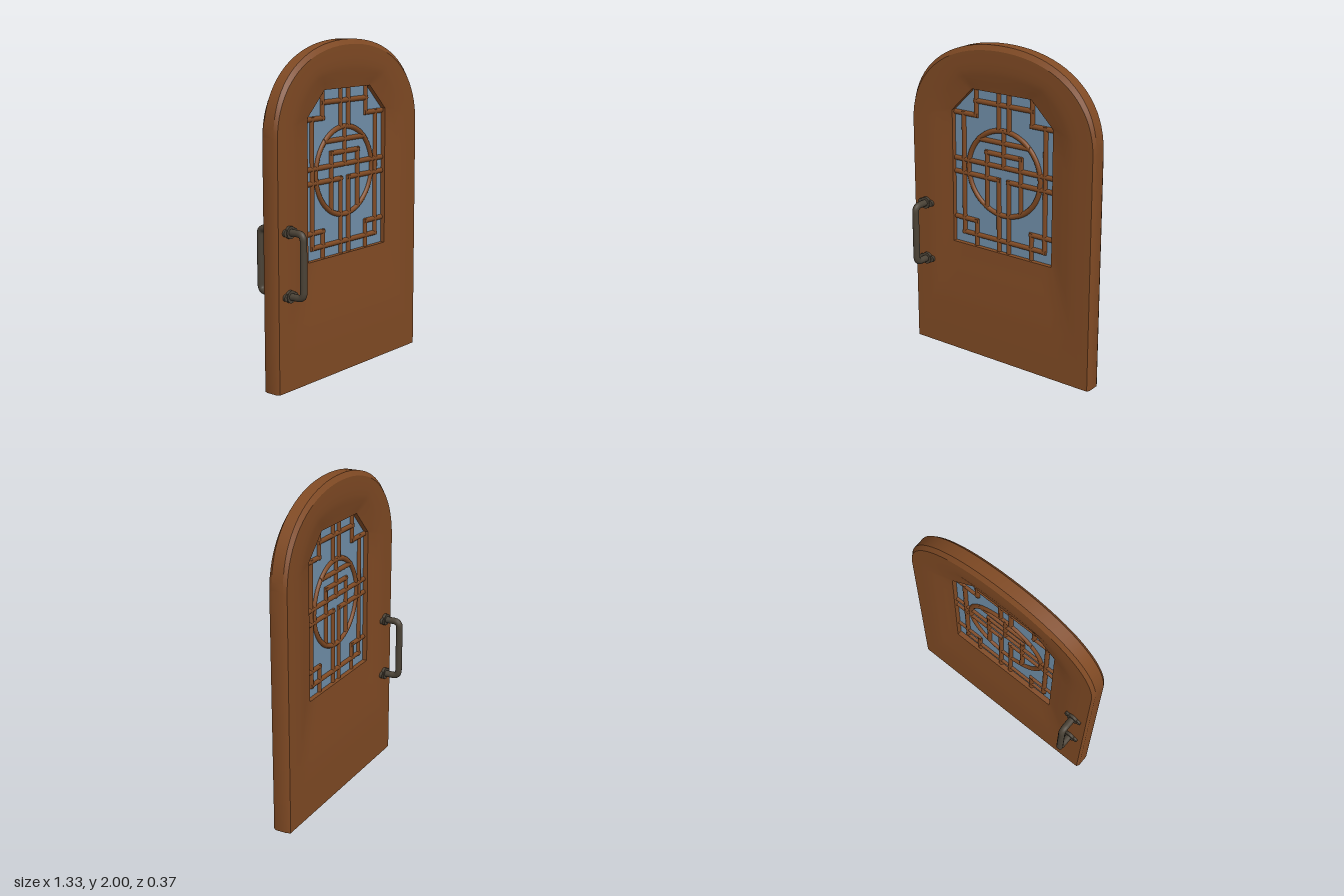
import * as THREE from 'three';
import { toCreasedNormals } from 'three/addons/utils/BufferGeometryUtils.js';

const V2 = (x, y) => new THREE.Vector2(x, y);
const V3 = (x, y, z) => new THREE.Vector3(x, y, z);
const material = (name, color, side = THREE.FrontSide) => {
  const m = new THREE.MeshStandardMaterial({ color, side });
  m.name = name;
  return m;
};

// Outer and window outlines, sampled with matching points; right half, mirrored
const HALF_W = 0.665, SPRING = 1.48;
const WIN_X = 0.368, WIN_BOTTOM = 0.72, WIN_SIDE = 1.565, WIN_TOP = 1.715, WIN_CUT = 0.215;

function outlines() {
  const arch = new THREE.CubicBezierCurve(V2(HALF_W, SPRING), V2(HALF_W, 1.8), V2(0.4, 2), V2(0, 2));
  const outer = [V2(0, 0)], inner = [V2(0, WIN_BOTTOM)];
  const segment = (n, outerAt, from, to) => {
    for (let i = 1; i <= n; i++) {
      outer.push(outerAt(i / n));
      inner.push(from.clone().lerp(to, i / n));
    }
  };
  const corner = V2(WIN_X, WIN_BOTTOM), side = V2(WIN_X, WIN_SIDE), cut = V2(WIN_CUT, WIN_TOP);
  segment(4, t => V2(HALF_W * t, 0), V2(0, WIN_BOTTOM), corner);
  segment(6, t => V2(HALF_W, SPRING * t), corner, side);
  segment(12, t => arch.getPoint(0.6 * t), side, cut);
  segment(8, t => arch.getPoint(0.6 + 0.4 * t), cut, V2(0, WIN_TOP));
  const mirror = pts => pts.concat(pts.slice(1, -1).reverse().map(p => V2(-p.x, p.y)));
  return [mirror(outer), mirror(inner)];
}

// Door slab: rings run from the bevelled rim to the recessed window and back
function slabGeometry() {
  const [outer, inner] = outlines();
  const ring = (s, z, scale = 1) => outer.map((p, i) => {
    const q = p.clone().multiplyScalar(scale).lerp(inner[i], s);
    return V3(q.x, q.y, z);
  });
  const profile = [[0, 0.036, 1], [0, 0.056, 0.985], [0.25, 0.056, 0.985], [0.45, 0.055, 0.985],
    [0.6, 0.05, 0.985], [0.8, 0.039, 0.985], [1, 0.03, 1]];
  const front = profile.map(([s, z, k]) => ring(s, z, k));
  const back = profile.map(([s, z, k]) => ring(s, -z, k)).reverse();
  const rings = [...front, ...back];
  const pos = [], n = outer.length;
  rings.forEach((a, k) => {
    const b = rings[(k + 1) % rings.length];
    for (let i = 0; i < n; i++) {
      const j = (i + 1) % n;
      for (const p of [a[i], a[j], b[j], a[i], b[j], b[i]]) pos.push(p.x, p.y, p.z);
    }
  });
  const geo = new THREE.BufferGeometry();
  geo.setAttribute('position', new THREE.Float32BufferAttribute(pos, 3));
  return toCreasedNormals(geo, 0.5);
}

export function createModel() {
  const model = new THREE.Group();
  model.name = 'archedDoor';
  const wood = material('wood', 0x804a24);
  const glass = material('glass', 0x7190aa, THREE.DoubleSide);
  const iron = material('iron', 0x4a4236);
  const add = (parent, name, geo, mat) => {
    const m = new THREE.Mesh(geo, mat);
    m.name = name;
    parent.add(m);
    return m;
  };

  add(model, 'doorSlab', slabGeometry(), wood);

  // Window pane
  const pane = new THREE.Shape(outlines()[1]);
  add(model, 'windowPane', new THREE.ShapeGeometry(pane), glass);

  // Lattice of round bars
  const lattice = new THREE.Group();
  lattice.name = 'lattice';
  model.add(lattice);
  const R = 0.016;
  const bar = (x1, y1, x2, y2) => {
    const length = Math.hypot(x2 - x1, y2 - y1) + 1.6 * R;
    const m = add(lattice, 'latticeBar', new THREE.CylinderGeometry(R, R, length, 10), wood);
    m.position.set((x1 + x2) / 2, (y1 + y2) / 2, 0);
    m.rotation.z = Math.atan2(y2 - y1, x2 - x1) - Math.PI / 2;
  };
  const ring = add(lattice, 'latticeRing', new THREE.TorusGeometry(0.265, R, 10, 48), wood);
  ring.position.y = 1.22;

  // Bars crossing the centre line
  bar(-WIN_X, 1.26, WIN_X, 1.26);
  bar(-0.18, 1.41, 0.18, 1.41);
  bar(-0.125, 1.335, 0.125, 1.335);
  bar(-0.205, 1.64, 0.205, 1.64);
  bar(-0.3, 0.79, 0.3, 0.79);
  bar(0, 1.26, 0, 1.48);
  // Mirrored bars
  for (const s of [-1, 1]) {
    bar(s * 0.037, 1.49, s * 0.037, WIN_TOP);
    bar(s * 0.037, WIN_BOTTOM, s * 0.037, 1.175);
    bar(s * 0.037, 1.175, s * WIN_X, 1.175);
    bar(s * 0.125, 1.0, s * 0.125, 1.335);
    bar(s * 0.3, 0.79, s * 0.3, 1.55);
    bar(s * 0.205, 1.55, s * 0.205, WIN_TOP);
    bar(s * 0.205, 1.55, s * WIN_X, 1.55);
    bar(s * 0.205, 0.88, s * WIN_X, 0.88);
    bar(s * 0.205, WIN_BOTTOM, s * 0.205, 0.88);
  }

  // Pull handles on both faces
  const top = 0.94, bottom = 0.567, reach = 0.163, bend = 0.04;
  for (const s of [1, -1]) {
    const handle = new THREE.Group();
    handle.name = s > 0 ? 'frontHandle' : 'backHandle';
    handle.position.x = -0.565;
    model.add(handle);
    const p = (y, z) => V3(0, y, s * z);
    const path = new THREE.CurvePath();
    path.add(new THREE.LineCurve3(p(top, 0.05), p(top, reach - bend)));
    path.add(new THREE.QuadraticBezierCurve3(p(top, reach - bend), p(top, reach), p(top - bend, reach)));
    path.add(new THREE.LineCurve3(p(top - bend, reach), p(bottom + bend, reach)));
    path.add(new THREE.QuadraticBezierCurve3(p(bottom + bend, reach), p(bottom, reach), p(bottom, reach - bend)));
    path.add(new THREE.LineCurve3(p(bottom, reach - bend), p(bottom, 0.05)));
    add(handle, 'grip', new THREE.TubeGeometry(path, 80, 0.021, 12), iron);
    // Mounting plates: round boss with two side lobes
    for (const y of [top, bottom]) {
      for (const [x, r, depth] of [[0, 0.037, 0.03], [-0.037, 0.021, 0.026], [0.037, 0.021, 0.026]]) {
        const disc = add(handle, 'mountingPlate', new THREE.CylinderGeometry(r, r, depth, 16), iron);
        disc.rotation.x = Math.PI / 2;
        disc.position.set(x, y, s * (0.044 + depth / 2));
      }
    }
  }
  return model;
}
